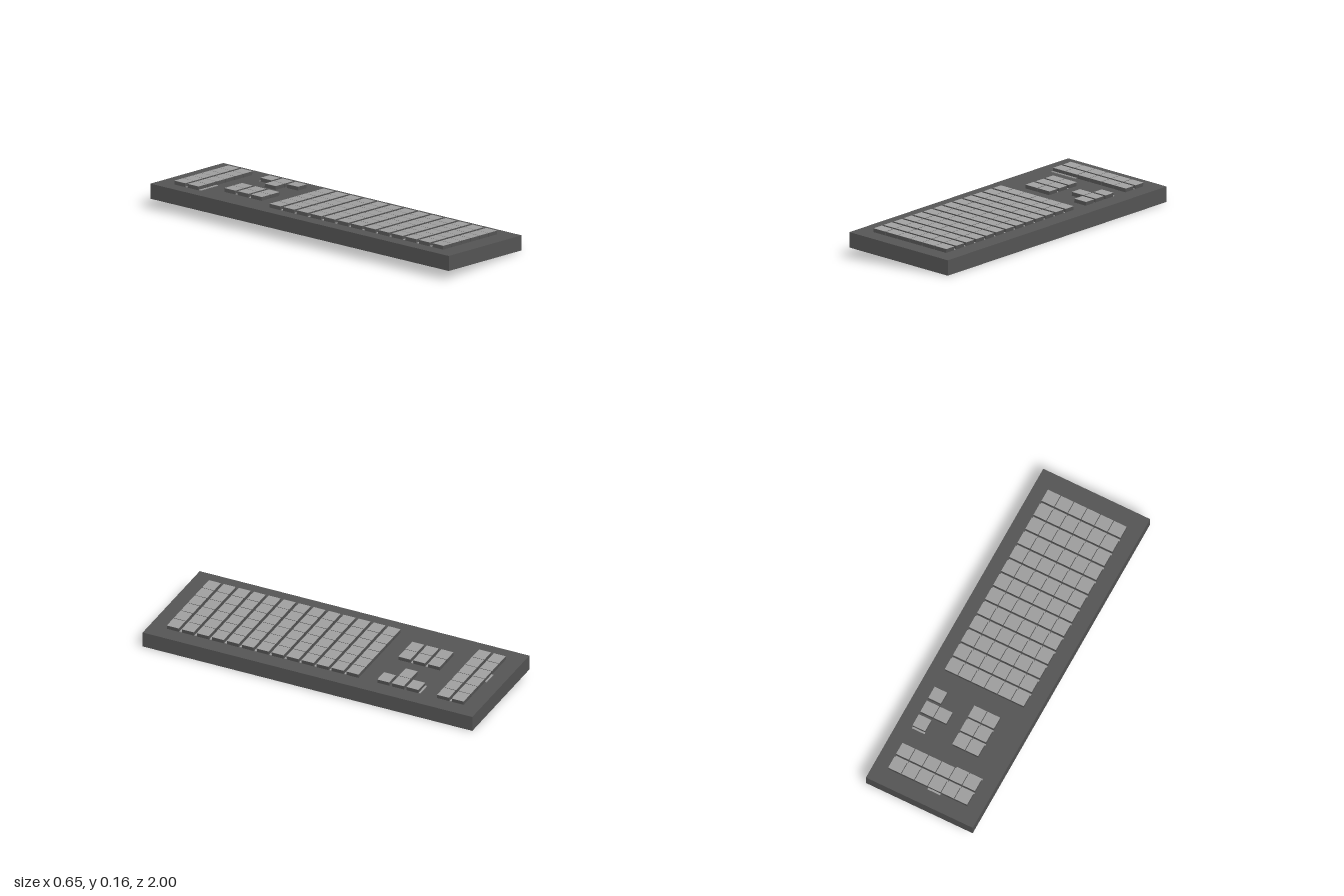
import * as THREE from 'three';

export function createModel() {
  const model = new THREE.Group();
  model.name = 'keyboard';
  const dark = new THREE.MeshStandardMaterial({ color: 0x555555 });
  const light = new THREE.MeshStandardMaterial({ color: 0xa0a0a0 });
  const slope = 0.06 / 0.65;

  // Wedge-like case: a box sheared so its ends stay vertical
  const caseGeo = new THREE.BoxGeometry(0.65, 0.085, 2);
  const p = caseGeo.attributes.position;
  for (let i = 0; i < p.count; i++) p.setY(i, p.getY(i) + 0.0725 - slope * p.getX(i));
  caseGeo.computeVertexNormals();
  const body = new THREE.Mesh(caseGeo, dark);
  body.name = 'case';
  model.add(body);

  // Sloping deck that carries the keys
  const deck = new THREE.Group();
  deck.name = 'keys';
  deck.position.y = 0.115;
  deck.rotation.z = -Math.atan(slope);
  model.add(deck);

  const columnX = (c) => (c - 2.5) * 0.081;
  const sideGeo = new THREE.BoxGeometry(0.077, 0.0205, 0.072);
  const topGeo = new THREE.BoxGeometry(0.077, 0.001, 0.072);
  const stripGeo = new THREE.BoxGeometry(0.077, 0.004, 0.01);

  // Key with dark sides and a pale top
  function addKey(c, z) {
    const key = new THREE.Group();
    key.name = 'key';
    key.position.set(columnX(c), 0, z);
    const sides = new THREE.Mesh(sideGeo, dark);
    sides.name = 'keySides';
    sides.position.y = 0.01025;
    const top = new THREE.Mesh(topGeo, light);
    top.name = 'keyTop';
    top.position.y = 0.021;
    key.add(sides, top);
    deck.add(key);
  }

  // Low pale strip in the gap beside a key
  function addStrip(c, z) {
    const strip = new THREE.Mesh(stripGeo, light);
    strip.name = 'keyStrip';
    strip.position.set(columnX(c), 0.002, z);
    deck.add(strip);
  }

  // A block of rows, with strips in the gaps between them
  function addBlock(columns, firstZ, pitch, rows) {
    for (let r = 0; r < rows; r++) {
      for (const c of columns) {
        const z = firstZ + r * pitch;
        addKey(c, z);
        if (r < rows - 1) addStrip(c, z + pitch / 2);
      }
    }
  }

  const all = [0, 1, 2, 3, 4, 5];
  addBlock(all, -0.229, 0.0909, 13); // main keys
  addBlock(all, -0.867, 0.089, 2); // number pad
  addBlock([1, 2], -0.593, 0.089, 3); // navigation keys

  // Arrow keys
  for (let r = 0; r < 3; r++) addKey(5, -0.593 + r * 0.089);
  addKey(4, -0.504);

  // Loose strips at the block edges
  addStrip(0, -0.733);
  addStrip(1, -0.733);
  addStrip(2, -0.908);
  addStrip(5, -0.634);

  return model;
}
